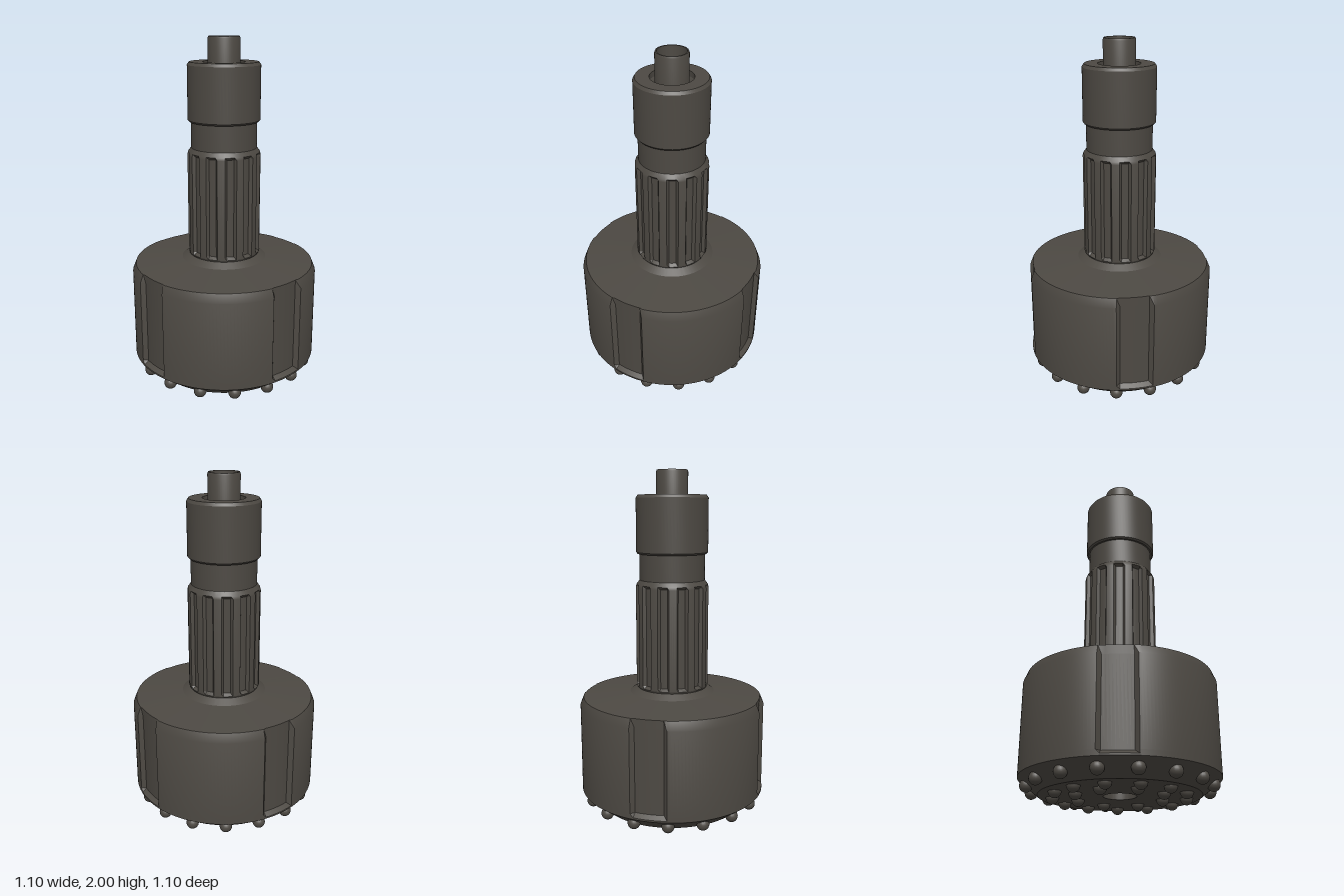
import * as THREE from 'three';
import { toCreasedNormals } from 'three/addons/utils/BufferGeometryUtils.js';

export function createModel() {
  const group = new THREE.Group();
  group.name = 'drillBit';
  const steel = new THREE.MeshStandardMaterial({ color: 0x4d4943 });
  steel.name = 'darkSteel';

  // Lathe part; rule(radius, y, degrees) may reshape the radius
  function turned(name, profile, segments = 72, rule = null) {
    const geo = new THREE.LatheGeometry(profile.map(([r, y]) => new THREE.Vector2(r, y)), segments);
    if (rule) {
      const p = geo.attributes.position;
      for (let i = 0; i < p.count; i++) {
        const x = p.getX(i), y = p.getY(i), z = p.getZ(i);
        const r = Math.hypot(x, z);
        const deg = (Math.atan2(x, z) * 180 / Math.PI + 360) % 360;
        const k = rule(r, y, deg) / r;
        p.setXYZ(i, x * k, y, z * k);
      }
    }
    const mesh = new THREE.Mesh(toCreasedNormals(geo, 0.42), steel);
    mesh.name = name;
    group.add(mesh);
    return mesh;
  }

  // Head with four shallow flushing channels on the diagonals
  turned('head', [
    [0.09, 0.035], [0.44, 0.035], [0.55, 0.12], [0.55, 0.13], [0.55, 0.15],
    [0.55, 0.64], [0.53, 0.69], [0.25, 0.715], [0.205, 0.745], [0.18, 0.745],
  ], 180, (r, y, deg) => {
    const offset = Math.abs((deg % 90) - 45);
    return offset < 9.5 && y > 0.14 ? Math.min(r, 0.524) : r;
  });

  // Splined shank: twelve teeth with shallow grooves between
  turned('splinedShank', [
    [0.2, 0.73], [0.212, 0.755], [0.212, 0.77], [0.212, 1.34], [0.208, 1.355], [0.19, 1.38], [0.18, 1.38],
  ], 120, (r, y, deg) => {
    const inTooth = Math.abs(((deg + 15) % 30) - 15) < 7.5;
    return !inTooth && y > 0.76 && y < 1.35 ? 0.193 : r;
  });

  // Neck and striking collar
  turned('neck', [[0.19, 1.37], [0.19, 1.54]]);
  turned('collar', [
    [0.18, 1.53], [0.2, 1.53], [0.208, 1.54], [0.208, 1.845], [0.197, 1.862], [0.12, 1.862],
  ]);

  // Through bore with countersunk mouth
  turned('bore', [[0.12, 1.862], [0.12, 1.83], [0.095, 1.79], [0.095, 0.3], [0.09, 0.28], [0.09, 0.035]]);

  // Hollow foot valve tube standing in the bore
  turned('valveTube', [
    [0.08, 1.65], [0.091, 1.65], [0.091, 1.99], [0.087, 2], [0.08, 2], [0.08, 1.65],
  ], 48);

  // Rings of rounded cutting buttons
  const buttonGeo = new THREE.SphereGeometry(0.036, 20, 14);
  function buttonRing(name, count, radius, y, startDeg) {
    const ring = new THREE.Group();
    ring.name = name;
    for (let i = 0; i < count; i++) {
      const a = (startDeg / 360 + i / count) * Math.PI * 2;
      const button = new THREE.Mesh(buttonGeo, steel);
      button.name = 'button';
      button.position.set(radius * Math.sin(a), y, radius * Math.cos(a));
      ring.add(button);
    }
    group.add(ring);
  }
  buttonRing('gaugeButtons', 16, 0.5, 0.075, 11.25);
  buttonRing('outerFaceButtons', 13, 0.365, 0.036, 0);
  buttonRing('innerFaceButtons', 8, 0.25, 0.036, 22.5);

  return group;
}
